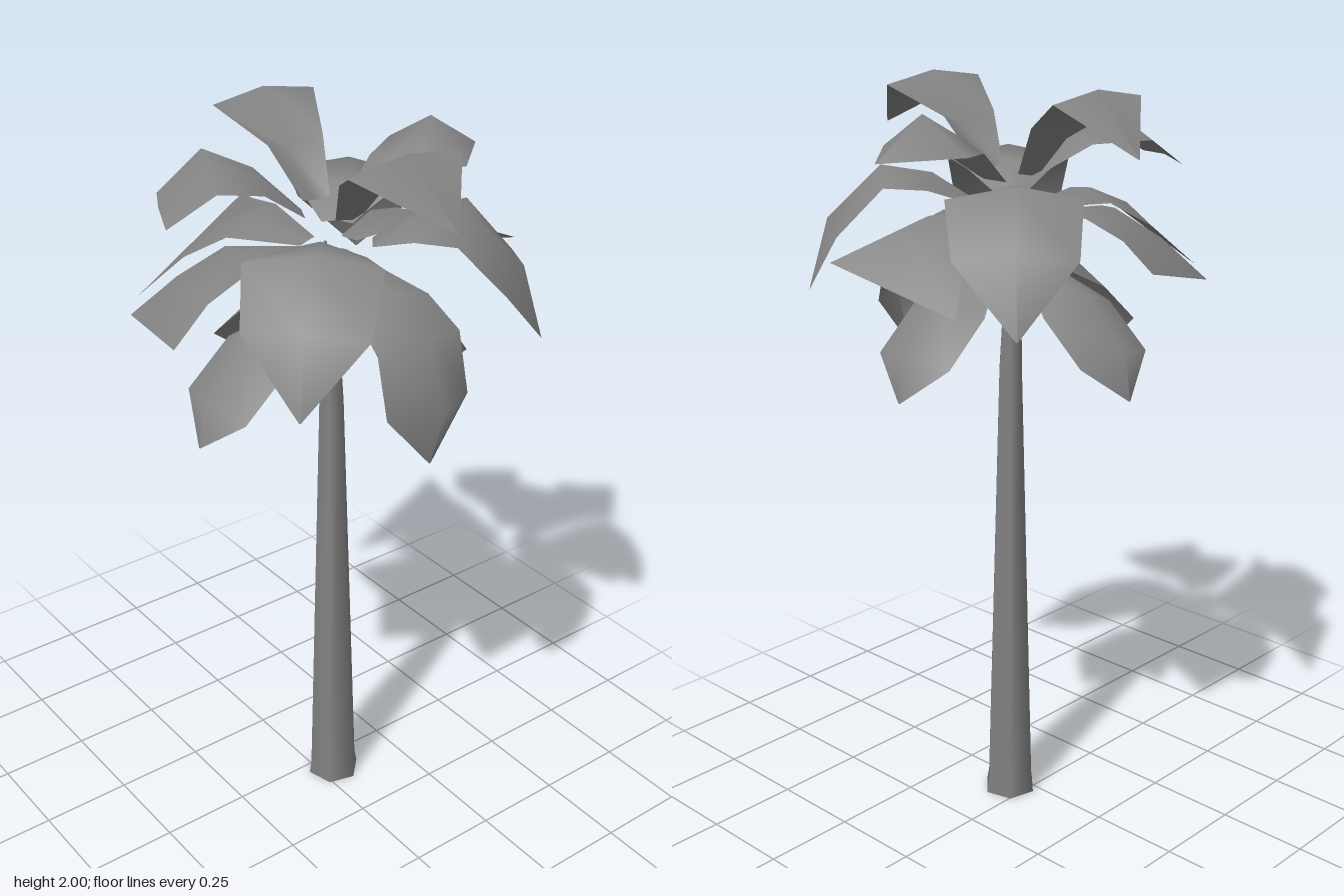
import * as THREE from 'three';

const grey = new THREE.MeshStandardMaterial({ color: 0x858585, side: THREE.DoubleSide });
grey.name = 'grey';

const CENTRE = { x: 0.02, z: 0.06 };

// Frond profiles, base to tip:
// [distance from trunk, height, half width, edge fold away from the spine, sideways shift]
const UPPER = [
  [0.08, 1.765, 0.045, -0.01, 0], [0.19, 1.865, 0.09, -0.045, 0.01],
  [0.3, 1.995, 0.165, 0.025, 0.02], [0.46, 1.85, 0.002, 0, 0],
];
const UPPER_LOW = [
  [0.06, 1.75, 0.04, 0, 0], [0.17, 1.865, 0.085, 0.03, 0],
  [0.31, 1.94, 0.145, 0.09, 0], [0.465, 1.84, 0.002, 0, 0],
];
const BLUNT = [
  [0.07, 1.76, 0.03, 0, 0], [0.17, 1.85, 0.1, 0.01, 0.02],
  [0.295, 1.885, 0.165, 0.025, 0.06], [0.417, 1.79, 0.125, 0.01, 0.02],
];
const MIDDLE = [
  [0.1, 1.7, 0.04, 0.01, 0], [0.2, 1.765, 0.11, 0.03, 0], [0.33, 1.785, 0.165, 0.035, 0],
  [0.47, 1.65, 0.15, 0.04, 0], [0.525, 1.46, 0.002, 0, 0],
];
const FLARED = [
  [0.07, 1.67, 0.03, 0, 0], [0.25, 1.7, 0.1, 0.02, 0.02],
  [0.38, 1.645, 0.14, 0.02, 0.045], [0.48, 1.55, 0.215, 0, 0.075],
];
const LOWER = [
  [0.03, 1.65, 0.02, 0.01, 0], [0.13, 1.55, 0.05, 0.04, 0], [0.26, 1.49, 0.125, 0.055, 0],
  [0.39, 1.36, 0.125, 0.045, 0], [0.405, 1.24, 0.002, 0, 0],
];
const LOWER_FRONT = [
  [0.04, 1.68, 0.02, 0.01, 0], [0.25, 1.635, 0.11, 0.035, 0], [0.38, 1.57, 0.125, 0.05, 0],
  [0.44, 1.39, 0.125, 0.06, 0], [0.395, 1.24, 0.002, 0, 0],
];

// Folded leaf: spine plus two edges. Angle 0 points to +x, 90 to +z; hand flips shift and twist.
function frond(name, profile, degrees, { twist = 0, widen = 1, hand = 1 } = {}) {
  const a = THREE.MathUtils.degToRad(degrees);
  const dx = Math.cos(a), dz = Math.sin(a);
  const last = profile.length - 1;
  const positions = [], index = [];
  profile.forEach(([r, y, w, fold, shift], i) => {
    // The fold pushes the edges at right angles to the spine
    const before = profile[Math.max(i - 1, 0)], after = profile[Math.min(i + 1, last)];
    const tr = after[0] - before[0], ty = after[1] - before[1];
    const length = Math.hypot(tr, ty);
    for (const s of [-1, 0, 1]) {
      const push = Math.abs(s) * fold / length;
      const along = r + ty * push;
      const side = (s * w + hand * shift) * widen;
      positions.push(
        CENTRE.x + dx * along - dz * side,
        y - tr * push + s * hand * twist * (i / last) ** 2,
        CENTRE.z + dz * along + dx * side);
    }
    if (i === 0) return;
    for (let k = 0; k < 2; k++) {
      const p = (i - 1) * 3 + k, q = p + 3;
      index.push(p, p + 1, q, p + 1, q + 1, q);
    }
  });
  const geometry = new THREE.BufferGeometry();
  geometry.setAttribute('position', new THREE.Float32BufferAttribute(positions, 3));
  geometry.setIndex(index);
  geometry.computeVertexNormals();
  const mesh = new THREE.Mesh(geometry, grey);
  mesh.name = name;
  return mesh;
}

// Leaning, tapering trunk with a slight flare at the foot
function trunk() {
  const rings = [ // [x, y, z, radius]
    [0.045, 0, 0.05, 0.075], [0.044, 0.04, 0.05, 0.069], [0.018, 1.24, 0.066, 0.034],
    [0.01, 1.55, 0.062, 0.022], [0, 1.69, 0.06, 0.004],
  ];
  const geometry = new THREE.CylinderGeometry(1, 1, 1, 6, rings.length - 1, false, Math.PI / 12);
  const p = geometry.attributes.position;
  for (let i = 0; i < p.count; i++) {
    const [x, y, z, r] = rings[Math.round((p.getY(i) + 0.5) * (rings.length - 1))];
    p.setXYZ(i, x + p.getX(i) * r, y, z + p.getZ(i) * r);
  }
  const mesh = new THREE.Mesh(geometry, grey);
  mesh.name = 'trunk';
  return mesh;
}

export function createModel() {
  const model = new THREE.Group();
  model.name = 'palmTree';

  const crown = new THREE.Group();
  crown.name = 'crown';
  crown.add(
    // Raised fronds
    frond('upperFrontFrond', UPPER, 90),
    frond('upperBackFrond', UPPER, -84, { widen: 0.87, hand: -1 }),
    frond('upperLeftFrond', UPPER_LOW, -1),
    frond('upperRightFrond', BLUNT, 207),
    // Arching diagonal fronds
    frond('middleFrontLeftFrond', MIDDLE, 45),
    frond('middleFrontRightFrond', MIDDLE, 135),
    frond('middleBackLeftFrond', MIDDLE, -45),
    // Flat fronds with wide twisted ends
    frond('flaredLeftFrond', FLARED, -15, { twist: 0.05, widen: 0.8 }),
    frond('flaredRightFrond', FLARED, 197.5, { twist: 0.05, hand: -1 }),
    frond('flaredBackFrond', FLARED, -112, { twist: 0.06, widen: 1.14 }),
    // Drooping fronds
    frond('lowerFrontFrond', LOWER_FRONT, 90),
    frond('lowerLeftFrond', LOWER, 0),
    frond('lowerRightFrond', LOWER, 180),
    frond('lowerBackFrond', LOWER, -90),
  );

  model.add(trunk(), crown);
  return model;
}
